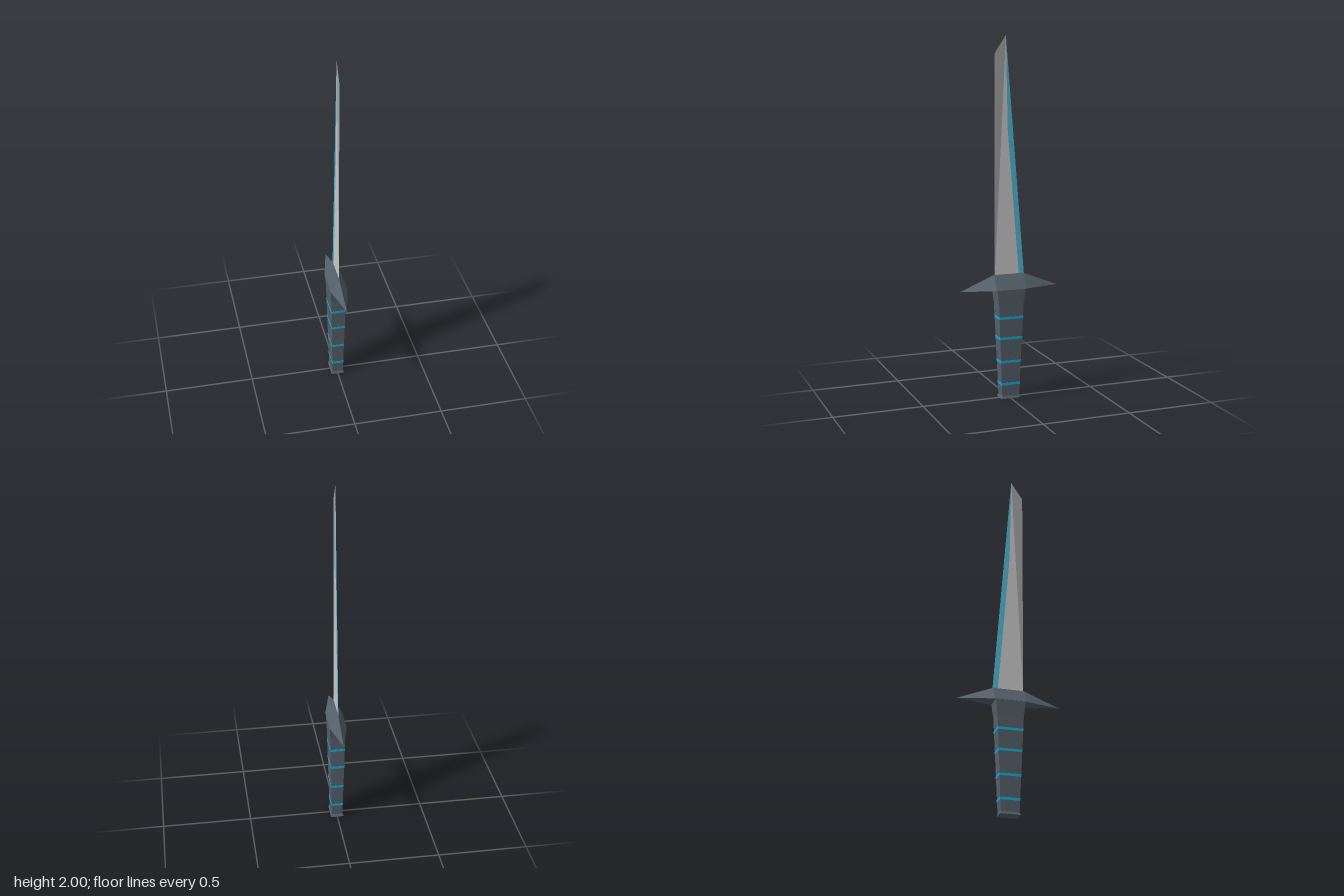
import * as THREE from 'three';

const mat = (color, side = THREE.FrontSide) =>
  new THREE.MeshStandardMaterial({ color, side, flatShading: true });

function addMesh(parent, name, geometry, material) {
  const mesh = new THREE.Mesh(geometry, material);
  mesh.name = name;
  parent.add(mesh);
}

// Rectangular loft through sections [y, half width x, half depth z], capped at both ends
function loft(sections) {
  const pos = [], idx = [];
  for (const [y, hx, hz] of sections) {
    pos.push(hx, y, hz, hx, y, -hz, -hx, y, -hz, -hx, y, hz);
  }
  for (let s = 0; s < sections.length - 1; s++) {
    for (let i = 0; i < 4; i++) {
      const a = s * 4 + i, b = s * 4 + (i + 1) % 4;
      idx.push(a, b, b + 4, a, b + 4, a + 4);
    }
  }
  const t = (sections.length - 1) * 4;
  idx.push(0, 2, 1, 0, 3, 2, t, t + 1, t + 2, t, t + 2, t + 3);
  return indexed(pos, idx);
}

function indexed(pos, idx) {
  const g = new THREE.BufferGeometry();
  g.setAttribute('position', new THREE.Float32BufferAttribute(pos, 3));
  g.setIndex(idx);
  const flat = g.toNonIndexed();
  flat.computeVertexNormals();
  return flat;
}

// Flat sheet in the x = 0 plane from [z, y] points
function sheet(points) {
  const shape = new THREE.Shape(points.map(([z, y]) => new THREE.Vector2(-z, y)));
  return new THREE.ShapeGeometry(shape).rotateY(Math.PI / 2);
}

export function createModel() {
  const group = new THREE.Group();
  const dark = mat(0x55616a);
  const cyan = mat(0x12aeda);

  // Tapered grip with flared pommel
  const profile = [
    [0, 0.037, 0.056], [0.015, 0.031, 0.05], [0.08, 0.032, 0.053],
    [0.54, 0.042, 0.072], [0.62, 0.046, 0.083],
  ];
  addMesh(group, 'grip', loft(profile), dark);

  // Coloured bands that follow the grip taper
  const sectionAt = (y) => {
    const i = profile.findIndex((p) => p[0] >= y);
    const a = profile[i - 1], b = profile[i];
    const t = (y - a[0]) / (b[0] - a[0]);
    return [y, a[1] + (b[1] - a[1]) * t + 0.0012, a[2] + (b[2] - a[2]) * t + 0.0012];
  };
  for (const y of [0.083, 0.211, 0.345, 0.461]) {
    addMesh(group, 'gripBand', loft([sectionAt(y - 0.007), sectionAt(y + 0.007)]), cyan);
  }

  // Roof-shaped guard: hexagonal base rising to a ridge
  const w = 0.048, d = 0.086, tip = 0.285, y0 = 0.62, y1 = 0.7;
  addMesh(group, 'guard', indexed(
    [0, y0, tip, w, y0, d, w, y0, -d, 0, y0, -tip, -w, y0, -d, -w, y0, d, 0, y1, d, 0, y1, -d],
    [
      0, 1, 6, 1, 2, 7, 1, 7, 6, 2, 3, 7, 3, 4, 7, 4, 5, 6, 4, 6, 7, 5, 0, 6, // slopes
      0, 5, 1, 1, 5, 4, 1, 4, 2, 2, 4, 3, // underside
    ]), dark);

  // Paper-thin blade: spine, face and coloured cutting edge
  const heel = [0.082, 0.69], point = [0.016, 2];
  addMesh(group, 'bladeSpine', sheet([heel, [0.082, 1.9], point]),
    mat(0xa6a6a6, THREE.DoubleSide));
  addMesh(group, 'bladeFace', sheet([heel, point, [0.006, 1.5], [-0.06, 0.69]]),
    mat(0xcccccc, THREE.DoubleSide));
  addMesh(group, 'bladeEdge', sheet([[-0.06, 0.69], [0.006, 1.5], point, [-0.09, 0.69]]),
    mat(0x55b8d6, THREE.DoubleSide));

  return group;
}
